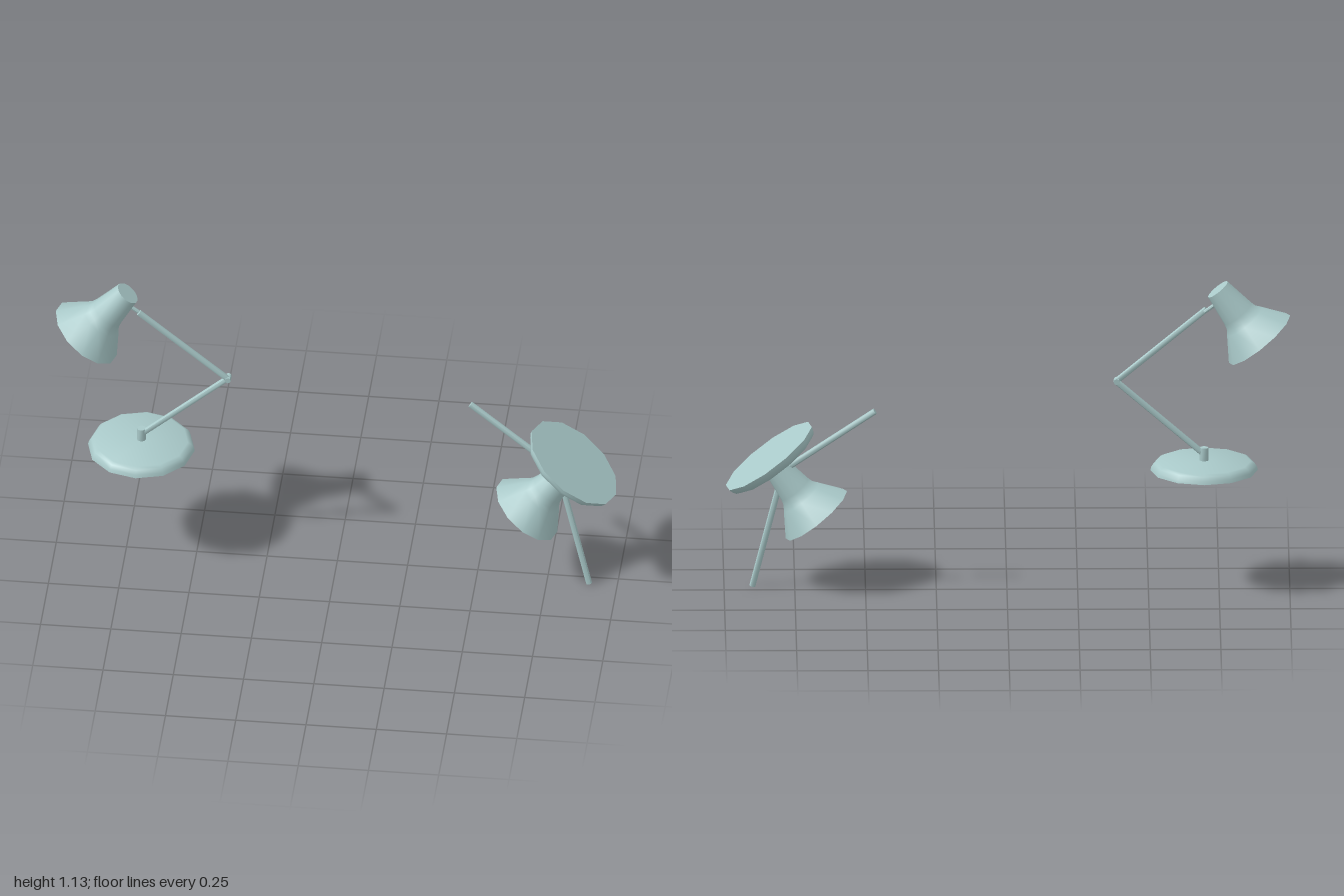
import * as THREE from 'three';
import { toCreasedNormals } from 'three/addons/utils/BufferGeometryUtils.js';

const material = new THREE.MeshStandardMaterial({ color: 0xa9c9c9 });
const openMaterial = new THREE.MeshStandardMaterial({ color: 0xa9c9c9, side: THREE.DoubleSide });

function mesh(name, geometry, mat = material) {
  const m = new THREE.Mesh(geometry, mat);
  m.name = name;
  return m;
}

// Twelve-sided turned part from [radius, height] pairs
function turned(profile) {
  const points = profile.map(([r, y]) => new THREE.Vector2(r, y));
  return toCreasedNormals(new THREE.LatheGeometry(points, 12), 0.72);
}

// Round rod between two points
function rod(name, from, to, radius) {
  const a = new THREE.Vector3(...from);
  const b = new THREE.Vector3(...to);
  const dir = b.clone().sub(a);
  const m = mesh(name, toCreasedNormals(new THREE.CylinderGeometry(radius, radius, dir.length(), 8), 0.9));
  m.position.copy(a).add(b).multiplyScalar(0.5);
  m.quaternion.setFromUnitVectors(new THREE.Vector3(0, 1, 0), dir.normalize());
  return m;
}

// Weighted foot with its short post, standing on its own origin
function makeBase(name) {
  const base = new THREE.Group();
  base.name = name;
  base.add(mesh('foot', turned([[0, 0], [0.19, 0], [0.187, 0.012], [0.178, 0.026], [0.165, 0.033], [0, 0.036]])));
  base.add(rod('post', [0, 0.03, 0], [0, 0.083, 0], 0.016));
  return base;
}

// Flared shade, open at the rim and closed at the narrow end
function makeShade(name, x, y) {
  const shade = mesh(name, turned([
    [0.139, 0], [0.08, 0.084], [0.068, 0.1], [0.062, 0.122], [0.045, 0.236], [0, 0.236],
  ]), openMaterial);
  shade.position.set(x, y, 0);
  shade.rotation.z = -0.675;
  return shade;
}

export function createModel() {
  const model = new THREE.Group();
  model.name = 'deskLamps';

  // Assembled lamp
  const lamp = new THREE.Group();
  lamp.name = 'assembledLamp';
  const base = makeBase('base');
  base.position.set(-0.697, 0.44, 0);
  lamp.add(
    base,
    rod('lowerArm', [-0.695, 0.5, 0], [-0.387, 0.767, 0], 0.011),
    rod('elbowPin', [-0.388, 0.768, -0.012], [-0.388, 0.768, 0.02], 0.011),
    rod('upperArm', [-0.385, 0.765, 0.008], [-0.705, 1.031, 0.008], 0.011),
    rod('shadeBracket', [-0.698, 1.022, 0], [-0.75, 1.06, 0], 0.007),
    makeShade('shade', -0.893, 0.922),
  );

  // Same parts lying loose
  const loose = new THREE.Group();
  loose.name = 'looseParts';
  const looseBase = makeBase('looseBase');
  looseBase.position.set(0.842, 0.495, 0);
  looseBase.rotation.set(0, 0.1, 2.505, 'ZYX');
  loose.add(
    looseBase,
    rod('looseUpperArm', [0.467, 0.677, -0.059], [0.797, 0.442, -0.011], 0.011),
    rod('looseLowerArm', [0.9, 0.004, 0.04], [0.8, 0.405, 0.01], 0.011),
    makeShade('looseShade', 0.674, 0.278),
  );

  model.add(lamp, loose);
  return model;
}
